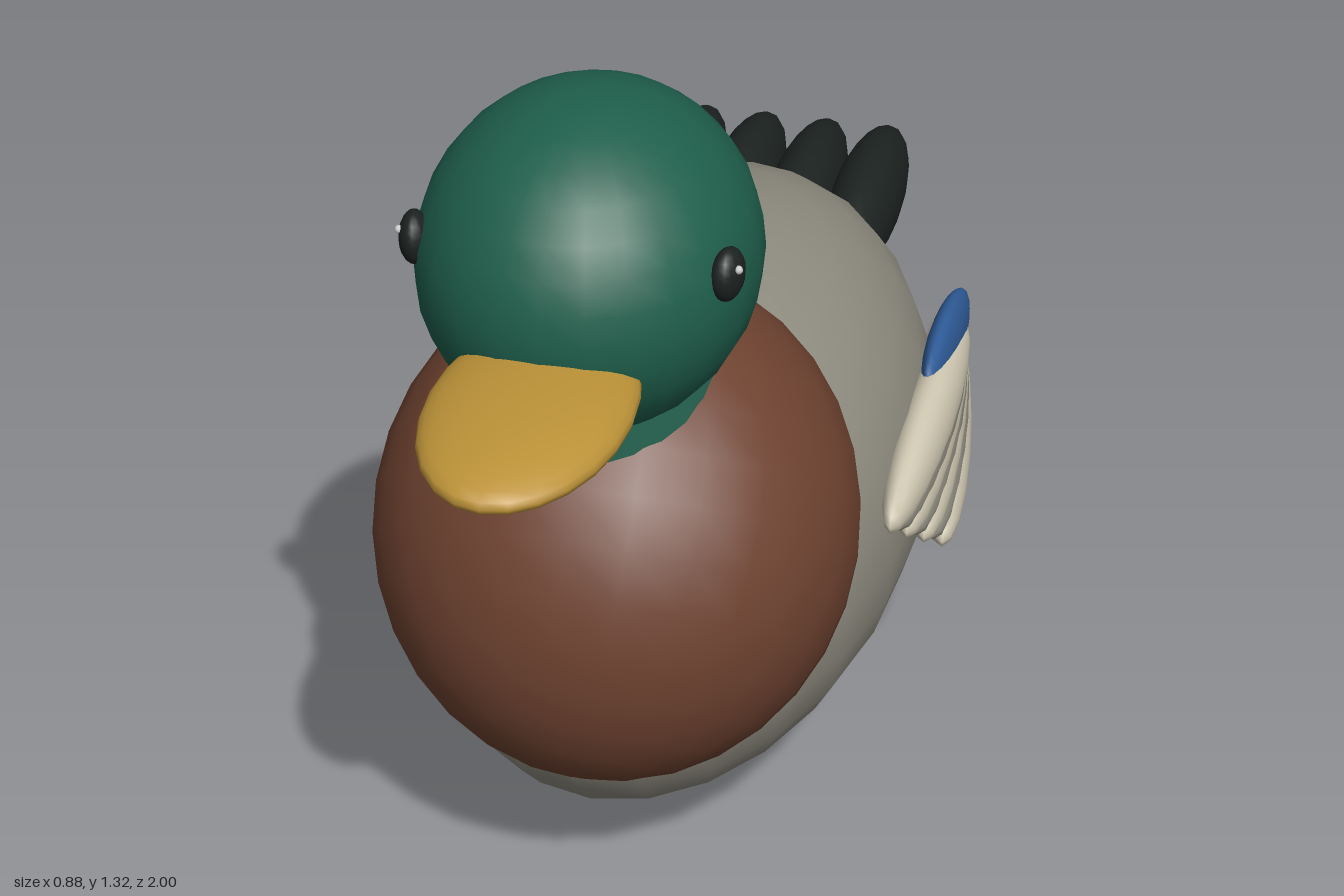
import * as THREE from 'three';

const colours = {
  green: 0x1f5f4c, neck: 0x2a6b57, brown: 0x6e4230, grey: 0x8f8c80,
  cream: 0xd2cab4, blue: 0x2f5c99, black: 0x1c2220, gold: 0xbc9238, white: 0xffffff,
};
const materials = {};
for (const key in colours) materials[key] = new THREE.MeshStandardMaterial({ color: colours[key] });

// Ellipsoid with given centre, radii and rotation
function ellipsoid(name, colour, centre, radii, rotation = [0, 0, 0], segments = 24, rings = 16) {
  const mesh = new THREE.Mesh(new THREE.SphereGeometry(1, segments, rings), materials[colour]);
  mesh.name = name;
  mesh.position.set(...centre);
  mesh.scale.set(...radii);
  mesh.rotation.set(...rotation);
  return mesh;
}

// Wing on side s: overlapping feathers, cream with grey bands between
function createWing(s) {
  const wing = new THREE.Group();
  wing.name = s > 0 ? 'leftWing' : 'rightWing';
  for (let i = 0; i <= 3; i += 0.5) {
    const band = i % 1 !== 0;
    wing.add(ellipsoid(
      band ? 'featherBand' : 'feather', band ? 'grey' : 'cream',
      [s * (0.374 - 0.003 * i), 0.487 - 0.046 * i, -0.165 - 0.075 * i],
      [0.039 + 0.002 * i, band ? 0.052 : 0.06, 0.32 + 0.016 * i - (band ? 0.012 : 0)],
      [-0.03, s * 0.055 * i, 0], 20, 14));
  }
  wing.add(ellipsoid('wingPatch', 'blue', [s * 0.366, 0.51, -0.37], [0.026, 0.06, 0.175], [-0.14, 0, 0], 20, 14));
  return wing;
}

export function createModel() {
  const duck = new THREE.Group();
  duck.name = 'duck';

  // Body and chest
  duck.add(ellipsoid('body', 'grey', [0, 0.392, -0.1], [0.382, 0.39, 0.7]));
  duck.add(ellipsoid('chest', 'brown', [0, 0.557, 0.31], [0.355, 0.38, 0.35], [-0.7, 0, 0]));

  // Neck, tipped forward
  const neck = new THREE.Mesh(new THREE.CylinderGeometry(0.172, 0.186, 0.12, 24), materials.neck);
  neck.name = 'neck';
  neck.position.set(0, 0.892, 0.385);
  neck.rotation.x = 0.28;
  neck.scale.x = 0.87;
  duck.add(neck);

  // Head, bill and eyes
  duck.add(ellipsoid('head', 'green', [0, 1.083, 0.448], [0.236, 0.237, 0.272]));
  duck.add(ellipsoid('bill', 'gold', [0, 1.02, 0.76], [0.137, 0.044, 0.24]));
  for (const s of [-1, 1]) {
    duck.add(ellipsoid('eye', 'black', [s * 0.214, 1.135, 0.553], [0.021, 0.038, 0.034], [0, -s * 0.2, 0], 16, 12));
    duck.add(ellipsoid('eyeGlint', 'white', [s * 0.231, 1.15, 0.565], [0.006, 0.006, 0.006], [0, 0, 0], 8, 6));
    duck.add(createWing(s));
  }

  // Tail feathers
  for (const x of [-0.16, -0.054, 0.054, 0.16]) {
    duck.add(ellipsoid('tailFeather', 'black', [x, 0.523, -0.77], [0.059, 0.08, 0.23], [0, 0, 0], 20, 14));
  }
  return duck;
}
